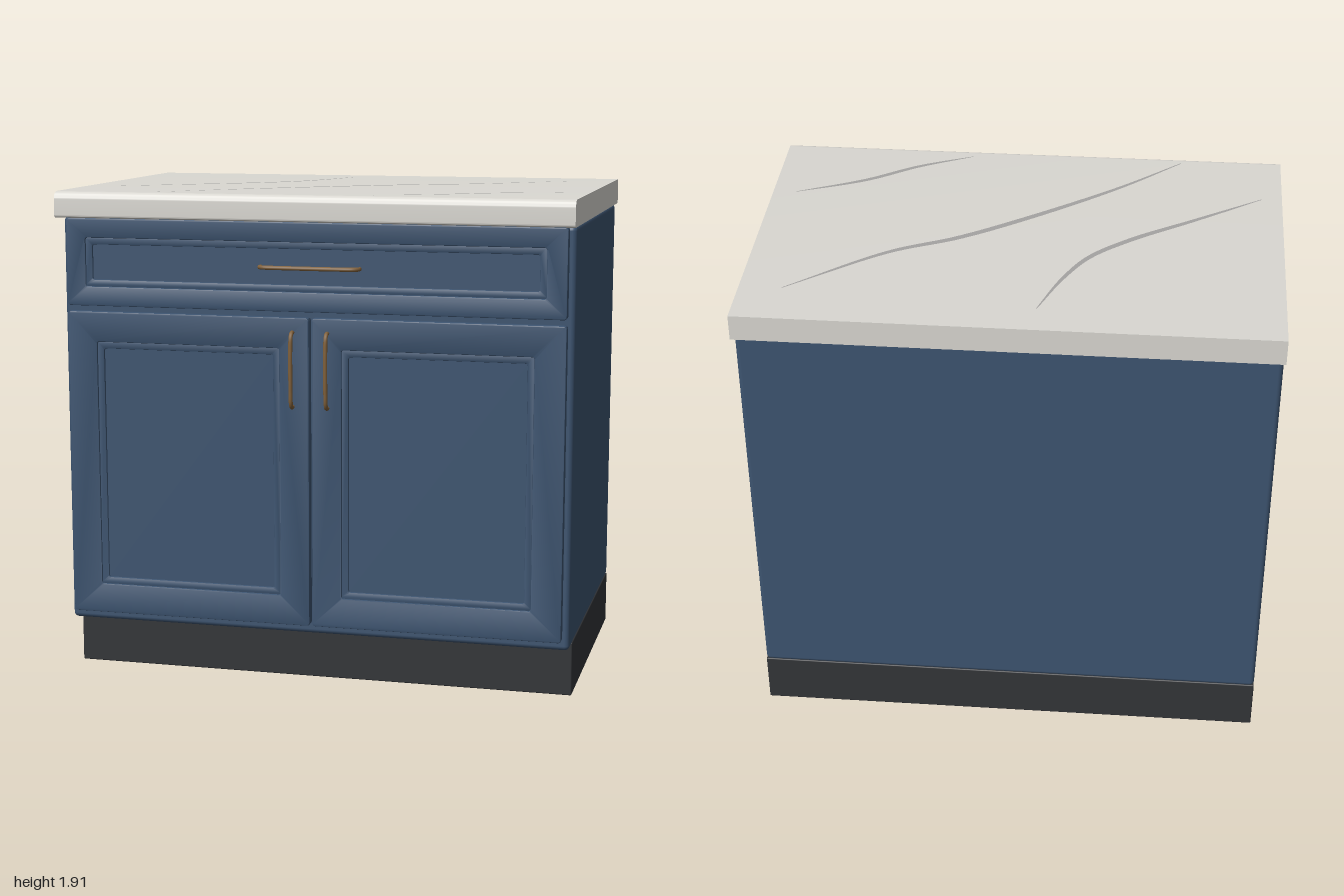
import * as THREE from 'three';
import { RoundedBoxGeometry } from 'three/addons/geometries/RoundedBoxGeometry.js';
import { toCreasedNormals } from 'three/addons/utils/BufferGeometryUtils.js';

const mat = (color) => new THREE.MeshStandardMaterial({ color });
const blue = mat(0x3d5470), dark = mat(0x333538), stone = mat(0xdad8d2), brass = mat(0x80603a);
const veinMat = mat(0xa5a4a2);
veinMat.side = THREE.DoubleSide;

const BODY_FRONT = 0.58, DOOR_FRONT = 0.62, TOP = 1.905;

function mesh(name, geometry, material) {
  const m = new THREE.Mesh(geometry, material);
  m.name = name;
  return m;
}

// Box given by its min and max corners
function block(name, [x0, y0, z0], [x1, y1, z1], radius, material) {
  const g = new RoundedBoxGeometry(x1 - x0, y1 - y0, z1 - z0, 3, radius);
  g.translate((x0 + x1) / 2, (y0 + y1) / 2, (z0 + z1) / 2);
  return mesh(name, g, material);
}

// Rounded rectangle traced into a Shape or Path
function roundRect(path, [x0, y0, x1, y1], r) {
  path.moveTo(x0 + r, y0).lineTo(x1 - r, y0);
  path.absarc(x1 - r, y0 + r, r, -Math.PI / 2, 0);
  path.lineTo(x1, y1 - r).absarc(x1 - r, y1 - r, r, 0, Math.PI / 2);
  path.lineTo(x0 + r, y1).absarc(x0 + r, y1 - r, r, Math.PI / 2, Math.PI);
  path.lineTo(x0, y0 + r).absarc(x0 + r, y0 + r, r, Math.PI, Math.PI * 1.5);
  return path;
}

const inset = ([x0, y0, x1, y1], d) => [x0 + d, y0 + d, x1 - d, y1 - d];

// Rectangular ring with softened edges, from z0 to z1
function ring(name, outer, inner, z0, z1, bevel) {
  const shape = roundRect(new THREE.Shape(), outer, 0.012);
  shape.holes.push(roundRect(new THREE.Path(), inner, 0.008));
  const g = new THREE.ExtrudeGeometry(shape, {
    depth: z1 - z0 - 2 * bevel, bevelEnabled: true, bevelThickness: bevel,
    bevelSize: bevel, bevelOffset: -bevel, bevelSegments: 2, curveSegments: 4,
  });
  g.translate(0, 0, z0 + bevel);
  return mesh(name, toCreasedNormals(g, 0.6), blue);
}

// Framed front: outer frame, stepped moulding and recessed panel
function framedFront(name, outer, opening) {
  const group = new THREE.Group();
  group.name = name;
  const inner = inset(opening, 0.026);
  group.add(ring('frame', outer, opening, BODY_FRONT, DOOR_FRONT, 0.005));
  group.add(ring('moulding', inset(opening, -0.004), inner, BODY_FRONT, 0.612, 0.004));
  const [x0, y0, x1, y1] = inset(inner, -0.008);
  group.add(block('panel', [x0, y0, BODY_FRONT], [x1, y1, 0.603], 0.002, blue));
  return group;
}

// Bowed bar handle along x, ends set into the front
function handle(name, half) {
  const points = [
    [-half + 0.008, -0.005], [-half + 0.009, 0.014], [-half + 0.025, 0.026], [-half * 0.5, 0.031],
    [0, 0.032], [half * 0.5, 0.031], [half - 0.025, 0.026], [half - 0.009, 0.014], [half - 0.008, -0.005],
  ].map(([x, z]) => new THREE.Vector3(x, 0, z));
  return mesh(name, new THREE.TubeGeometry(new THREE.CatmullRomCurve3(points), 64, 0.008, 10), brass);
}

// Countertop profile in (z, y) with eased front edges, swept along x
function countertop() {
  const y0 = 1.805, z = 0.66, r = 0.03, s = 0.01;
  const p = new THREE.Shape();
  p.moveTo(-z, y0).lineTo(z - s, y0);
  p.absarc(z - s, y0 + s, s, -Math.PI / 2, 0);
  p.lineTo(z, TOP - r).absarc(z - r, TOP - r, r, 0, Math.PI / 2);
  p.lineTo(-z, TOP).closePath();
  const g = new THREE.ExtrudeGeometry(p, { depth: 2, bevelEnabled: false, curveSegments: 8 });
  g.rotateY(-Math.PI / 2).translate(1, 0, 0);
  return mesh('countertop', toCreasedNormals(g, 0.6), stone);
}

// Thin tapered ribbon lying on the countertop, through (x, z) points
function vein(points, width) {
  const curve = new THREE.CatmullRomCurve3(points.map(([x, z]) => new THREE.Vector3(x, TOP + 0.0015, z)));
  const n = 48, pos = [], index = [];
  for (let i = 0; i <= n; i++) {
    const p = curve.getPointAt(i / n), t = curve.getTangentAt(i / n);
    const w = (width / 2) * (0.15 + 0.85 * Math.sin((Math.PI * i) / n));
    pos.push(p.x - t.z * w, p.y, p.z + t.x * w, p.x + t.z * w, p.y, p.z - t.x * w);
    const a = 2 * i;
    if (i < n) index.push(a, a + 2, a + 1, a + 1, a + 2, a + 3);
  }
  const g = new THREE.BufferGeometry();
  g.setAttribute('position', new THREE.Float32BufferAttribute(pos, 3));
  g.setIndex(index);
  g.computeVertexNormals();
  return mesh('stoneVein', g, veinMat);
}

export function createModel() {
  const model = new THREE.Group();
  model.name = 'baseCabinet';

  // Plinth, carcass and worktop
  model.add(block('plinth', [-0.995, 0, -0.615], [0.995, 0.21, 0.48], 0.005, dark));
  model.add(block('carcass', [-0.995, 0.205, -0.615], [0.995, 1.805, BODY_FRONT], 0.018, blue));
  model.add(countertop());

  // Stone veining
  model.add(vein([[-0.92, 0.34], [-0.65, 0.15], [-0.42, -0.01], [-0.27, -0.15], [-0.18, -0.31], [-0.1, -0.52]], 0.024));
  model.add(vein([[-0.6, 0.61], [-0.35, 0.38], [0, 0.11], [0.24, -0.05], [0.48, -0.17], [0.84, -0.455]], 0.026));
  model.add(vein([[0.24, 0.6], [0.45, 0.5], [0.65, 0.37], [0.91, 0.255]], 0.02));

  // Drawer
  model.add(framedFront('drawerFront', [-0.97, 1.465, 0.97, 1.803], [-0.893, 1.54, 0.893, 1.727]));
  const pull = handle('drawerHandle', 0.2);
  pull.position.set(0, 1.633, DOOR_FRONT);
  model.add(pull);

  // Pair of doors with upright handles
  for (const [side, s] of [['left', 1], ['right', -1]]) {
    const span = (a, y0, b, y1) => [Math.min(s * a, s * b), y0, Math.max(s * a, s * b), y1];
    model.add(framedFront(side + 'Door', span(0.005, 0.245, 0.97, 1.443), span(0.122, 0.362, 0.853, 1.325)));
    const bar = handle(side + 'DoorHandle', 0.15);
    bar.rotation.z = Math.PI / 2;
    bar.position.set(s * 0.068, 1.245, DOOR_FRONT);
    model.add(bar);
  }
  return model;
}
